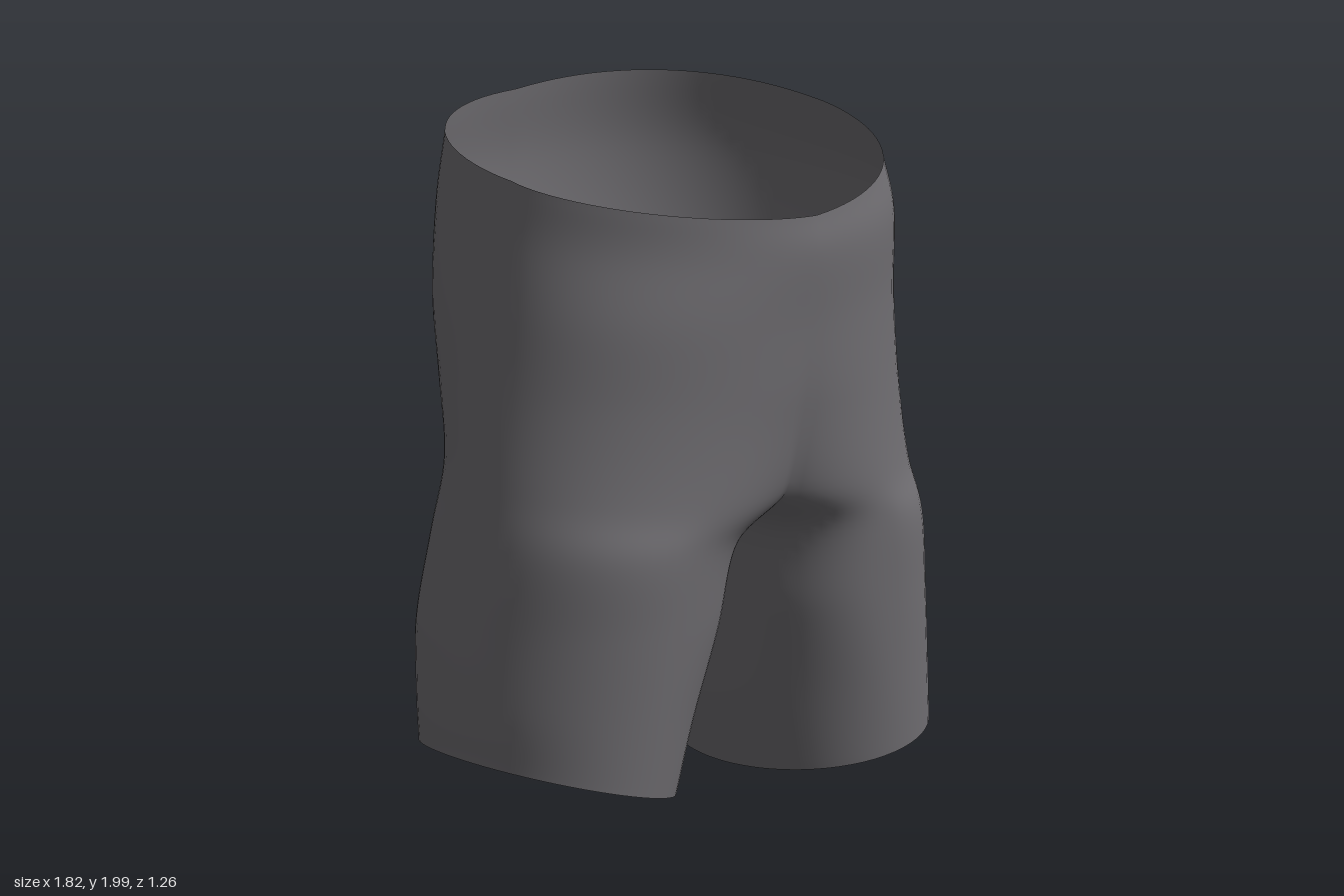
import * as THREE from 'three';
import { mergeVertices } from 'three/addons/utils/BufferGeometryUtils.js';

// Key rings of one half, waist to hem. y: height, xl / xr: outer reach on left / right,
// cx: centre of the half's ellipse, zf / zb: front and back depth,
// sl / sr: side tilt on left / right, front: forward tilt of the ring.
const RINGS = [
  { y: 1.865, xl: 0.68, xr: 0.67, cx: 0, zf: 0.62, zb: -0.6, sl: 0.065, sr: 0, front: -0.115 },
  { y: 1.69, xl: 0.738, xr: 0.695, cx: 0, zf: 0.63, zb: -0.625, sl: 0.03, sr: 0, front: -0.06 },
  { y: 1.45, xl: 0.75, xr: 0.735, cx: 0.02, zf: 0.607, zb: -0.6, sl: 0, sr: 0, front: -0.02 },
  { y: 1.2, xl: 0.765, xr: 0.78, cx: 0.1, zf: 0.578, zb: -0.53, sl: 0, sr: 0, front: -0.03 },
  { y: 0.96, xl: 0.785, xr: 0.825, cx: 0.24, zf: 0.548, zb: -0.42, sl: 0, sr: 0, front: -0.06 },
  { y: 0.77, xl: 0.815, xr: 0.86, cx: 0.42, zf: 0.525, zb: -0.39, sl: 0, sr: 0, front: -0.02 },
  { y: 0.52, xl: 0.855, xr: 0.89, cx: 0.465, zf: 0.5, zb: -0.418, sl: 0.01, sr: 0.01, front: 0 },
  { y: 0.28, xl: 0.89, xr: 0.91, cx: 0.505, zf: 0.468, zb: -0.388, sl: 0.04, sr: 0.03, front: -0.02 },
  { y: 0.09, xl: 0.91, xr: 0.91, cx: 0.55, zf: 0.44, zb: -0.36, sl: 0.075, sr: 0.065, front: -0.045 },
];
const SPLIT = 4;      // ring where the body divides into legs
const OUTER = 48;     // columns from front seam round the side to back seam
const INNER = 24;     // columns along the inside of the leg
const COLS = OUTER + INNER;
const STEPS = 8;      // rows between key rings

// Roundness of a ring's arc: below 1 is squarer, above 1 is flatter
function arcPower(k, s, c, left) {
  if (k < 3 && c < 0) return 0.92;
  if (k < 2 && !left) return 1.15;
  if ((k === 5 || k === 6) && s < 0 && c > 0) return 0.82;
  return 1;
}

// Point of a key ring; columns past OUTER lie on the inner leg
function ringPoint(k, j, left) {
  const r = RINGS[k];
  const rx = r.xl - r.cx;
  const phi = k <= SPLIT ? Math.asin(r.cx / rx) : 0.87;
  const inner = j > OUTER;
  const w = (j - OUTER) / INNER;
  const a = inner
    ? Math.PI + phi + w * (Math.PI - 2 * phi)
    : -phi + (j / OUTER) * (Math.PI + 2 * phi);
  const s = Math.sin(a), c = Math.cos(a);
  const p = arcPower(k, s, c, left);
  const round = (v) => Math.sign(v) * Math.abs(v) ** p;
  let x = r.cx + rx * round(s);
  let y = r.y + (left ? r.sl : r.sr) * s + r.front * c;
  const z = (r.zf + r.zb) / 2 + ((r.zf - r.zb) / 2) * round(c);
  if (inner && k === SPLIT) {           // crotch seam
    x = 0;
    y -= 0.11 * Math.sin(Math.PI * w) ** 0.7;
  }
  return new THREE.Vector3(left ? x : x * r.xr / r.xl, y, z);
}

// Adds one half (trunk side plus leg) to the shared vertex and face lists
function addHalf(left, positions, faces) {
  const base = positions.length / 3;
  const rows = (RINGS.length - 1) * STEPS;
  const splitRow = SPLIT * STEPS;
  const columns = [];
  for (let j = 0; j < COLS; j++) {
    const first = j > OUTER ? SPLIT : 0;
    const pts = [];
    for (let k = first; k < RINGS.length; k++) pts.push(ringPoint(k, j, left));
    columns.push({ start: first * STEPS, curve: new THREE.CatmullRomCurve3(pts, false, 'catmullrom', 0.5) });
  }
  for (let i = 0; i <= rows; i++) {
    columns.forEach(({ start, curve }, j) => {
      const p = curve.getPoint(Math.max(0, i - start) / (rows - start));
      const onSeam = i <= splitRow && (j === 0 || j >= OUTER);
      const x = onSeam ? 0 : Math.max(0, p.x);
      positions.push(left ? x : -x, p.y, p.z);
    });
  }
  for (let i = 0; i < rows; i++) {
    const count = i < splitRow ? OUTER : COLS;
    for (let j = 0; j < count; j++) {
      const n = (j + 1) % COLS;
      const a = base + i * COLS + j, d = base + i * COLS + n;
      const b = a + COLS, c = d + COLS;
      if (left) faces.push(a, b, c, a, c, d);
      else faces.push(a, c, b, a, d, c);
    }
  }
}

export function createModel() {
  const positions = [], faces = [];
  addHalf(true, positions, faces);
  addHalf(false, positions, faces);

  // Weld the halves along the centre and crotch seams
  let geometry = new THREE.BufferGeometry();
  geometry.setAttribute('position', new THREE.Float32BufferAttribute(positions, 3));
  geometry.setIndex(faces);
  geometry = mergeVertices(geometry, 1e-4);
  geometry.computeVertexNormals();

  const shorts = new THREE.Mesh(
    geometry,
    new THREE.MeshStandardMaterial({ color: 0x706e72, side: THREE.DoubleSide })
  );
  shorts.name = 'shorts';

  const group = new THREE.Group();
  group.name = 'shortTrousers';
  group.add(shorts);
  return group;
}
